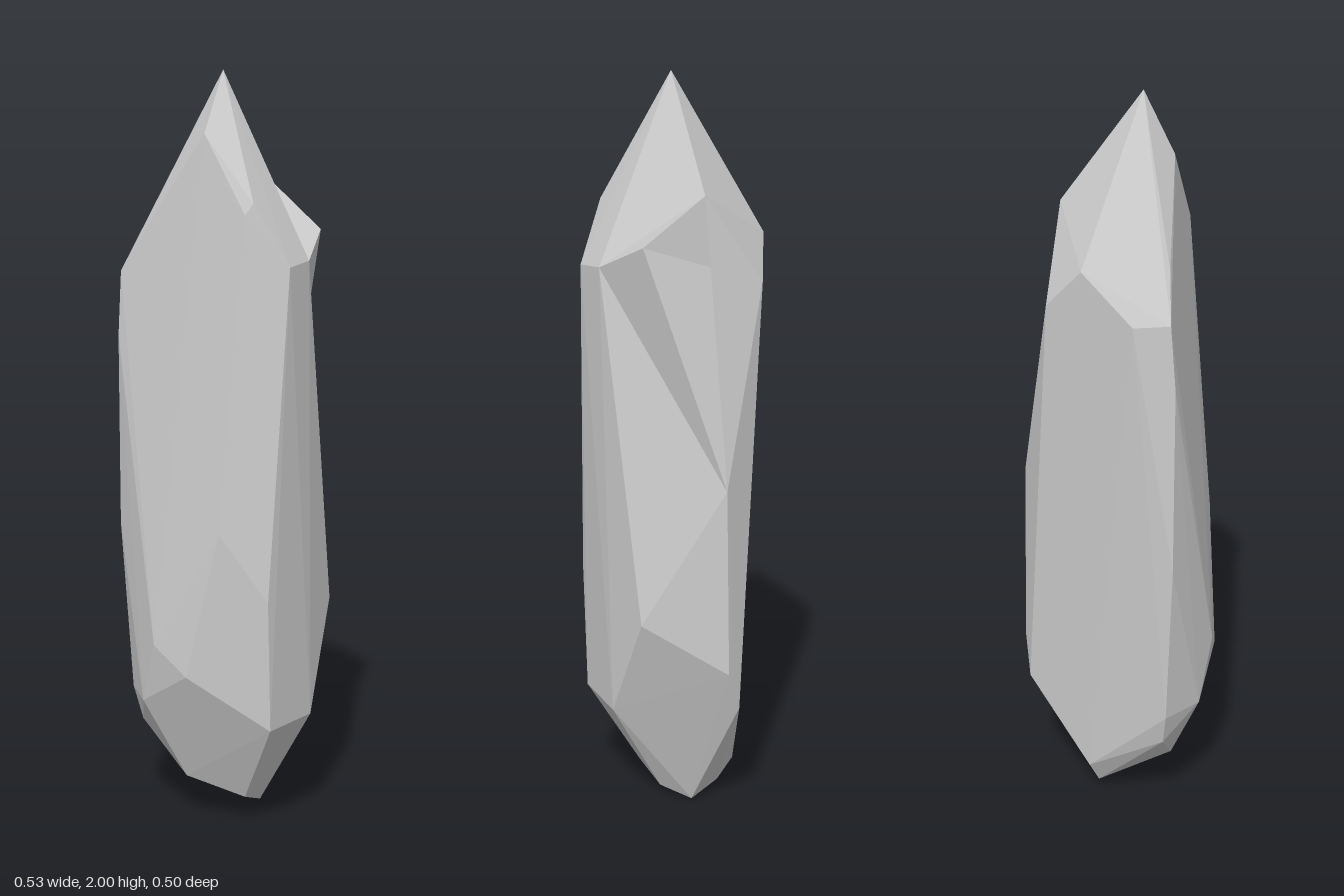
import * as THREE from 'three';
import { ConvexGeometry } from 'three/addons/geometries/ConvexGeometry.js';

const v = (x, y, z) => new THREE.Vector3(x, y, z);

// Corners around the one dented side of the crystal
const tip = v(-0.06, 2.0, 0.01);
const shoulder = v(0.152, 1.71, 0.012);
const frontShoulder = v(0.0, 1.52, 0.239);
const knob = v(0.142, 1.59, 0.178);
const backShoulder = v(0.165, 1.48, -0.145);
const waist = v(0.255, 0.96, -0.005);
const hip = v(0.167, 0.59, 0.2);

// Remaining corners, from the top ring to the foot
const others = [
  v(-0.14, 1.84, 0.01), v(-0.15, 1.67, 0.172), v(-0.165, 1.64, 0.157), // crown
  v(-0.1, 1.51, 0.25), v(0.067, 1.59, -0.195), v(-0.07, 1.47, -0.25),
  v(-0.153, 1.6, -0.18), v(-0.165, 1.48, -0.25), v(-0.178, 1.31, -0.25),
  v(-0.235, 0.83, 0.125), v(-0.165, 0.65, 0.232), v(-0.177, 0.8, -0.25), // body
  v(-0.267, 0.51, -0.065), v(-0.265, 0.44, 0.04), v(0.263, 0.45, -0.01),
  v(0.245, 0.34, -0.05), v(-0.24, 0.34, -0.125), v(-0.16, 0.34, -0.225),
  v(0.035, 0.3, 0.23), v(-0.15, 0.3, 0.23), v(-0.15, 0.25, -0.2),
  v(0.067, 0.1, -0.117), v(-0.155, 0.12, -0.045), v(-0.085, 0.07, 0.1), // foot
  v(0.012, 0.03, 0.08), v(0.046, 0.03, -0.08), v(0.07, 0, 0.01),
];

function crystalGeometry() {
  const hull = new ConvexGeometry([
    tip, shoulder, frontShoulder, knob, backShoulder, waist, hip, ...others,
  ]).getAttribute('position');

  // Keep the hull facets that do not touch the knob
  const points = [];
  for (let i = 0; i < hull.count; i += 3) {
    const tri = [0, 1, 2].map((k) => new THREE.Vector3().fromBufferAttribute(hull, i + k));
    if (!tri.some((p) => p.distanceTo(knob) < 1e-4)) points.push(...tri);
  }

  // Refill that side with facets that leave shallow valleys beside the knob
  points.push(
    tip, frontShoulder, shoulder,
    frontShoulder, knob, shoulder,
    frontShoulder, waist, knob,
    frontShoulder, hip, waist,
    knob, waist, backShoulder,
    knob, backShoulder, shoulder,
  );
  const geometry = new THREE.BufferGeometry().setFromPoints(points);
  geometry.computeVertexNormals();
  return geometry;
}

export function createModel() {
  const model = new THREE.Group();
  model.name = 'crystalShard';
  const crystal = new THREE.Mesh(
    crystalGeometry(),
    new THREE.MeshStandardMaterial({ color: 0xcccccc, flatShading: true }),
  );
  crystal.name = 'crystal';
  model.add(crystal);
  return model;
}
